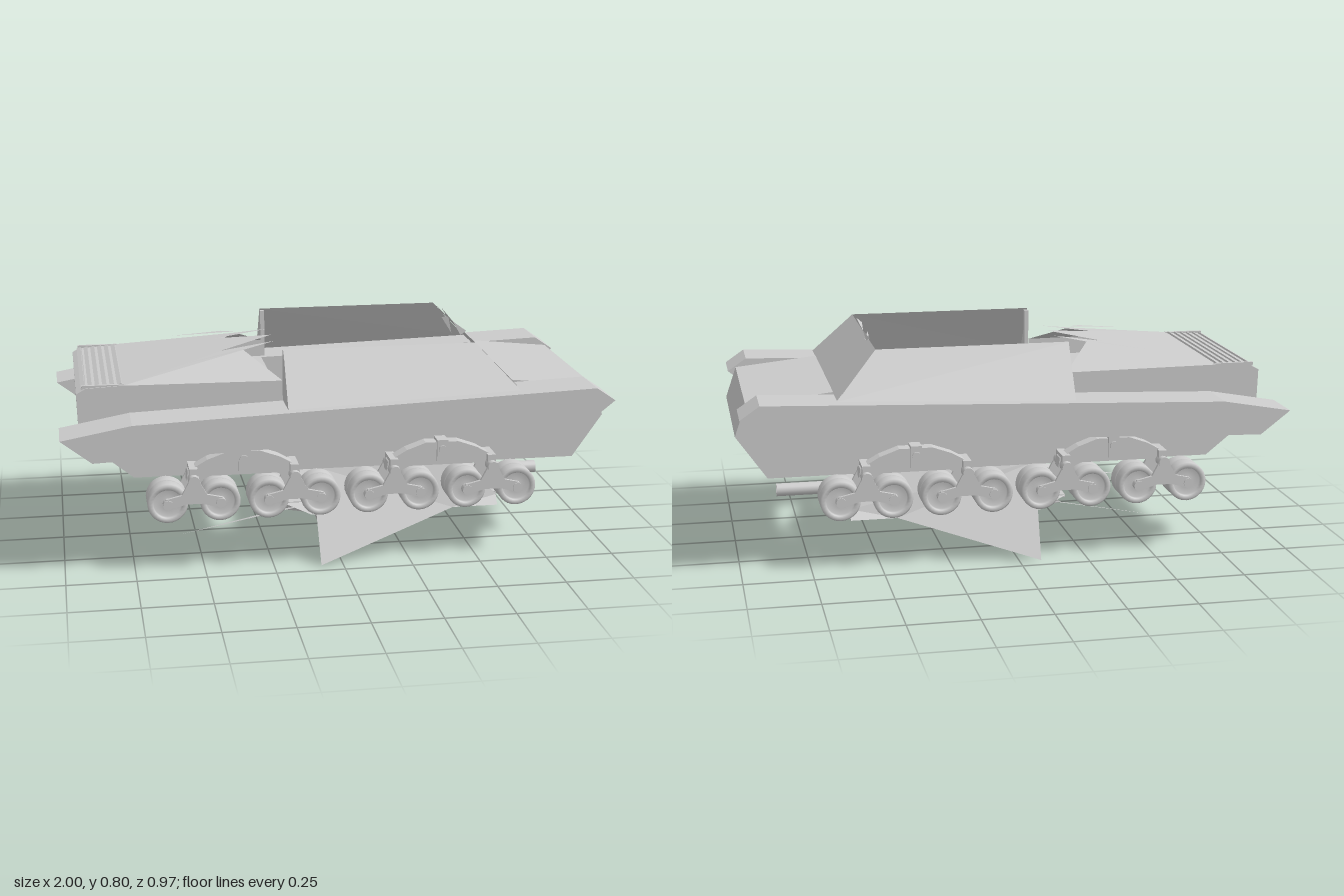
import * as THREE from 'three';

const single = new THREE.MeshStandardMaterial({ color: 0xcccccc });
const sheet = new THREE.MeshStandardMaterial({ color: 0xcccccc, side: THREE.DoubleSide });

export function createModel() {
  const root = new THREE.Group();
  const add = (name, geo, mat = single, parent = root) => {
    const m = new THREE.Mesh(geo, mat);
    m.name = name;
    parent.add(m);
    return m;
  };
  const box = (name, w, h, d, x, y, z, parent = root) => {
    const m = add(name, new THREE.BoxGeometry(w, h, d), single, parent);
    m.position.set(x, y, z);
    return m;
  };
  // flat convex panels, each a list of [x, y, z] corners
  const panels = (name, polys) => {
    const pos = [];
    for (const p of polys)
      for (let i = 1; i < p.length - 1; i++) pos.push(...p[0], ...p[i], ...p[i + 1]);
    const g = new THREE.BufferGeometry();
    g.setAttribute('position', new THREE.Float32BufferAttribute(pos, 3));
    g.computeVertexNormals();
    return add(name, g, sheet);
  };
  const mirrored = polys => [...polys, ...polys.map(p => p.map(([x, y, z]) => [x, y, -z]).reverse())];
  const shapeOf = pts => new THREE.Shape(pts.map(p => new THREE.Vector2(...p)));
  const slab = (pts, depth) => new THREE.ExtrudeGeometry(shapeOf(pts), { depth, bevelEnabled: false })
    .translate(0, 0, -depth / 2);
  const lathe = (pts, seg) => new THREE.LatheGeometry(pts.map(p => new THREE.Vector2(...p)), seg);
  const rod = (name, r, len, x, y, z, axis, parent = root) => {
    const g = new THREE.CylinderGeometry(r, r, len, 20);
    if (axis === 'z') g.rotateX(Math.PI / 2); else g.rotateZ(Math.PI / 2);
    const m = add(name, g, single, parent);
    m.position.set(x, y, z);
    return m;
  };

  // Central hull: bent skin, open at the fighting compartment above and below
  const W = 0.317;
  const tail = [[-0.77, 0.67], [-0.9, 0.664], [-0.935, 0.645], [-0.93, 0.48], [-0.74, 0.327], [-0.2, 0.327]];
  const nose = [[0.6, 0.327], [0.89, 0.327], [1, 0.485], [0.96, 0.6], [0.65, 0.632]];
  for (const skin of [tail, nose])
    panels('hullSkin', skin.slice(1).map((b, i) => {
      const a = skin[i];
      return [[...a, -W], [...b, -W], [...b, W], [...a, W]];
    }));
  const sidePts = [...tail, ...nose, [0.65, 0.62], [-0.2, 0.595], [-0.2, 0.665]];
  for (const s of [-1, 1])
    add('hullSide', new THREE.ShapeGeometry(shapeOf(sidePts)), sheet).position.z = s * W;

  // Side sponsons over the running gear
  const sponson = [[-1, 0.525], [-0.89, 0.44], [0.89, 0.505], [0.99, 0.585], [0.92, 0.633], [-0.75, 0.57]];
  for (const s of [-1, 1]) add('sponson', slab(sponson, 0.17)).position.z = s * 0.402;

  // Open-topped superstructure with sloped sheets and closed rear wall ends
  panels('superstructureFront', [[[0.65, 0.628, 0.44], [0.65, 0.628, -0.44], [0.5, 0.785, -0.345], [0.5, 0.785, 0.345]]]);
  panels('superstructureSides', mirrored([
    [[-0.2, 0.595, 0.465], [0.65, 0.625, 0.44], [0.5, 0.785, 0.345], [-0.2, 0.785, 0.345]],
    [[-0.2, 0.595, 0.465], [-0.2, 0.785, 0.345], [-0.2, 0.595, 0.33]],
  ]));
  panels('frontFlaps', [
    [[0.5, 0.785, 0], [0.5, 0.797, 0.21], [0.48, 0.78, 0.2]],
    [[0.5, 0.785, 0], [0.5, 0.797, -0.2], [0.51, 0.77, -0.12]],
    [[0.47, 0.765, 0.1], [0.51, 0.78, -0.12], [0.5, 0.76, -0.19]],
  ]);
  for (const s of [-1, 1]) box('rearPost', 0.016, 0.18, 0.02, -0.192, 0.69, s * 0.33);

  // Engine deck with folded edges, raised ragged tips and a lower floor
  panels('engineDeck', [
    [[-0.77, 0.67, W], [-0.32, 0.74, 0.14], [-0.4, 0.73, 0.1], [-0.4, 0.73, -0.1], [-0.32, 0.74, -0.14], [-0.77, 0.67, -W]],
    ...mirrored([
      [[-0.77, 0.67, W], [-0.2, 0.665, W], [-0.32, 0.74, 0.14]],
      [[-0.4, 0.73, 0.1], [-0.32, 0.74, 0.14], [-0.2, 0.76, 0.1]],
      [[-0.4, 0.73, 0.1], [-0.2, 0.76, 0], [-0.4, 0.73, 0]],
      [[-0.56, 0.715, 0.23], [-0.32, 0.745, 0.14], [-0.37, 0.74, 0.18]],
    ]),
  ]);
  panels('engineBayFloor', [[[-0.5, 0.6, W], [-0.2, 0.6, W], [-0.2, 0.6, -W], [-0.5, 0.6, -W]]]);

  // Engine grille bars
  for (let i = 0; i < 6; i++) {
    const bar = box('grilleBar', 0.016, 0.008, 0.6, -0.91 + i * 0.026, 0.662 + i * 0.0015, 0);
    bar.rotation.z = 0.4;
  }
  for (const s of [-1, 1]) box('grilleFrame', 0.15, 0.01, 0.012, -0.84, 0.668, s * 0.306);

  // Turret plate with a hanging rim, open below
  box('turretPlate', 0.8, 0.01, 0.63, 0.2, 0.198, 0);
  panels('plateRim', mirrored([
    [[-0.2, 0.2, 0.315], [0.6, 0.2, 0.315], [0.6, 0.16, 0.345], [-0.1, 0.16, 0.345]],
    [[0.6, 0.16, 0.345], [0.6, 0.2, 0.315], [0.6, 0.2, 0], [0.6, 0.16, 0]],
  ]));
  const ring = add('turretRing', new THREE.TorusGeometry(0.28, 0.01, 6, 40).rotateX(Math.PI / 2));
  ring.position.set(0.25, 0.19, 0);

  // Faceted turret sunk inside the hull
  const base = [[-0.04, 0.17], [0.1, 0.26], [0.4, 0.255], [0.48, 0.215]];
  const roof = [[-0.01, 0.15], [0.11, 0.22], [0.4, 0.215], [0.465, 0.205]];
  const loop = half => [...half, ...half.map(([x, z]) => [x, -z]).reverse()];
  const low = loop(base).map(([x, z]) => [x, 0.2, z]);
  const high = loop(roof).map(([x, z]) => [x, 0.36, z]);
  panels('turret', [high, ...low.map((p, i) => {
    const j = (i + 1) % low.length;
    return [p, low[j], high[j], high[i]];
  })]);
  for (const s of [-1, 1]) {
    const vent = add('roofVent', new THREE.CylinderGeometry(0.025, 0.025, 0.02, 12));
    vent.position.set(0.31, 0.37, s * 0.16);
  }
  box('turretFront', 0.05, 0.1, 0.34, 0.49, 0.275, 0);
  box('mantlet', 0.05, 0.07, 0.2, 0.53, 0.288, 0);
  rod('mantletCollar', 0.036, 0.04, 0.56, 0.29, 0, 'x');

  // Gun slung under the plate
  box('gunBreech', 0.1, 0.06, 0.12, 0.02, 0.173, 0);
  rod('gunBarrel', 0.018, 0.5, 0.3, 0.188, 0, 'x');
  const sleeve = add('gunSleeve', lathe([[0.016, -0.15], [0.024, -0.15], [0.024, 0.15], [0.015, 0.15], [0.015, 0.1]], 20)
    .rotateZ(-Math.PI / 2), sheet);
  sleeve.position.set(0.69, 0.19, 0);

  // Torn plates below the hull
  panels('lowerPlates', mirrored([
    [[-0.08, 0, 0.45], [0.43, 0.16, 0.345], [-0.09, 0.33, 0.29]],
    [[0.43, 0.16, 0.345], [0.6, 0.2, 0.335], [0.43, 0.33, 0.285], [-0.09, 0.33, 0.29]],
    [[-0.05, 0.07, 0.24], [-0.08, 0.16, 0.3], [-0.08, 0.14, 0.11]],
    [[-0.08, 0.16, 0.3], [-0.08, 0.14, 0.11], [-0.08, 0.14, 0], [-0.08, 0.16, 0]],
    [[-0.58, 0.09, 0.29], [-0.2, 0.155, 0.25], [-0.1, 0.185, 0.3]],
    [[-0.2, 0.155, 0.25], [-0.08, 0.15, 0.3], [-0.16, 0.195, 0.28]],
  ]));

  // Running gear: two units per side, each with two twin-wheel bogies
  const tire = lathe([[0.012, -0.018], [0.05, -0.012], [0.052, -0.027], [0.066, -0.027], [0.072, -0.022],
    [0.072, 0.022], [0.066, 0.027], [0.052, 0.027], [0.05, 0.012], [0.012, 0.018]], 28).rotateX(Math.PI / 2);
  const arm = slab([[-0.1, 0.247], [-0.07, 0.25], [-0.03, 0.262], [0.03, 0.262], [0.07, 0.25], [0.1, 0.247],
    [0.112, 0.265], [0.1, 0.282], [0.045, 0.295], [0.018, 0.345], [-0.018, 0.345], [-0.045, 0.295],
    [-0.1, 0.282], [-0.112, 0.265]], 0.012);
  const beam = slab([[-0.205, 0.335], [-0.15, 0.335], [-0.12, 0.35], [0.12, 0.35], [0.15, 0.335], [0.205, 0.335],
    [0.2, 0.37], [0.13, 0.41], [0.06, 0.435], [-0.06, 0.435], [-0.13, 0.41], [-0.2, 0.37]], 0.05);
  for (const side of [-1, 1]) for (const ux of [-0.355, 0.37]) {
    const unit = new THREE.Group();
    unit.name = 'suspensionUnit';
    unit.position.set(ux, 0, side * 0.385);
    root.add(unit);
    add('equalizerBeam', beam, single, unit);
    box('mountBracket', 0.04, 0.08, 0.06, 0, 0.405, side * 0.005, unit);
    rod('mountPin', 0.015, 0.075, 0, 0.41, side * 0.005, 'z', unit);
    for (const bx of [-0.181, 0.181]) {
      rod('bogiePivot', 0.02, 0.15, bx, 0.345, 0, 'z', unit);
      box('bogieCap', 0.03, 0.03, 0.1, bx, 0.37, 0, unit);
      for (const z of [-0.064, 0.064]) add('bogieArm', arm, single, unit).position.set(bx, 0, z);
      for (const wx of [-0.094, 0.094]) {
        rod('axle', 0.018, 0.15, bx + wx, 0.262, 0, 'z', unit);
        for (const z of [-0.029, 0.029]) add('roadWheel', tire, sheet, unit).position.set(bx + wx, 0.262, z);
      }
    }
  }
  return root;
}
